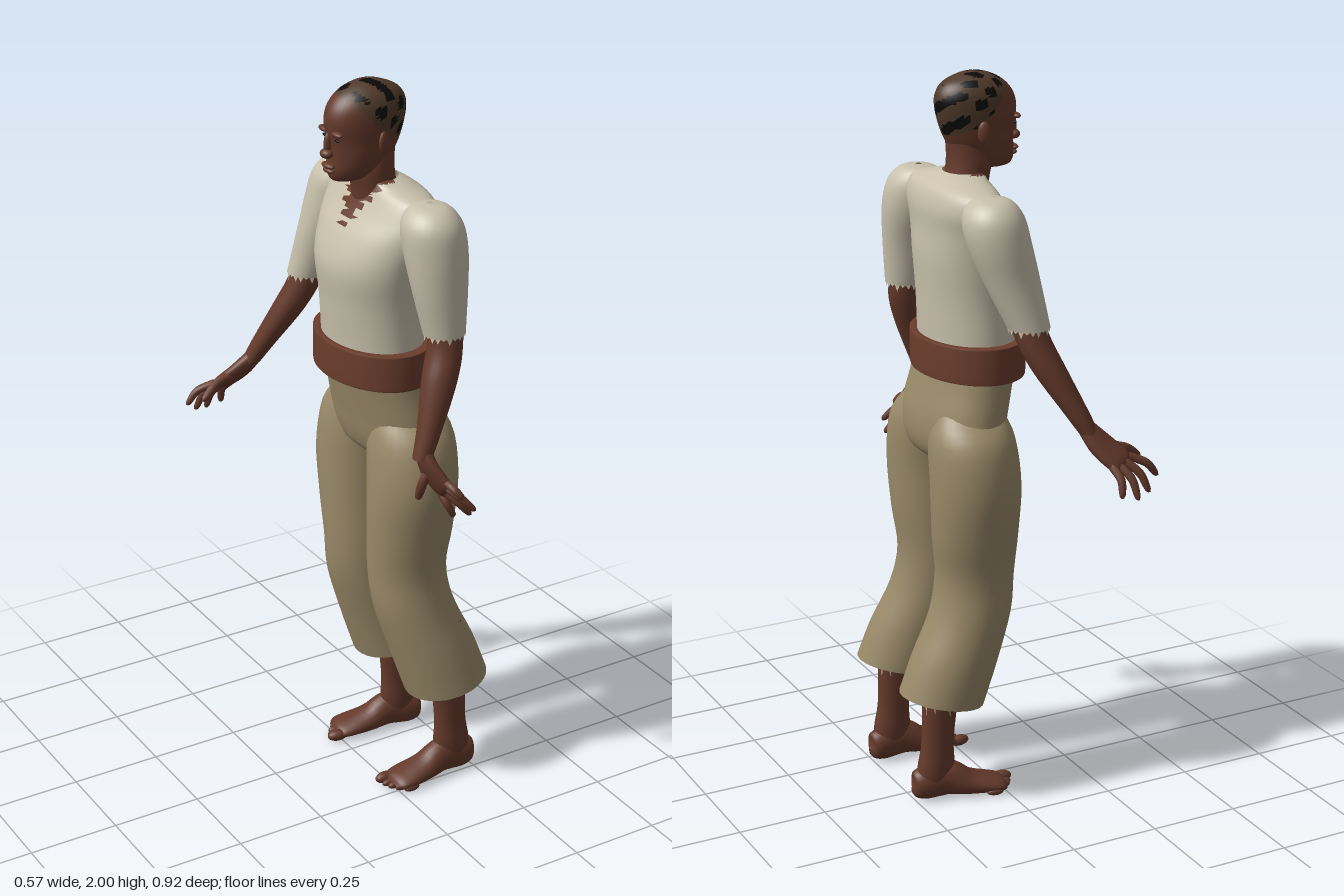
import * as THREE from 'three';

const mat = (name, color, side = THREE.FrontSide) => {
  const m = new THREE.MeshStandardMaterial({ color, side });
  m.name = name;
  return m;
};
const V = (x, y, z) => new THREE.Vector3(x, y, z);

// Smooth loft through stations [x, y, z, ru, rv, slope].
// Without ref the rings lie flat (ru along x, rv along z); with ref they follow the path.
function loft(stations, { ref = null, seg = 28, steps = 4 } = {}) {
  const path = new THREE.CatmullRomCurve3(stations.map(s => V(s[0], s[1], s[2])), false, 'catmullrom');
  const radii = new THREE.CatmullRomCurve3(stations.map(s => V(s[3], s[4] ?? s[3], s[5] ?? 0)), false, 'catmullrom');
  const n = (stations.length - 1) * steps, pos = [], idx = [];
  const flat = V(0, Math.sign(stations.at(-1)[1] - stations[0][1]), 0);
  for (let i = 0; i <= n; i++) {
    const c = path.getPoint(i / n), r = radii.getPoint(i / n);
    const t = ref ? path.getTangent(i / n) : flat;
    const u = (ref ? ref.clone() : V(1, 0, 0)).addScaledVector(t, ref ? -t.dot(ref) : 0).normalize();
    const v = t.clone().cross(u);
    for (let j = 0; j < seg; j++) {
      const a = (j / seg) * Math.PI * 2;
      const du = Math.cos(a) * Math.max(r.x, 0.0005), dv = Math.sin(a) * Math.max(r.y, 0.0005);
      const p = c.clone().addScaledVector(u, du).addScaledVector(v, dv);
      pos.push(p.x, p.y + du * r.z, p.z);
      if (i < n) {
        const k = (j + 1) % seg, A = i * seg + j, B = i * seg + k;
        idx.push(A, B, B + seg, A, B + seg, A + seg);
      }
    }
  }
  const g = new THREE.BufferGeometry();
  g.setAttribute('position', new THREE.Float32BufferAttribute(pos, 3));
  g.setIndex(idx);
  g.computeVertexNormals();
  return g;
}

// Sorts faces into material groups by a rule on their centre.
function paint(g, count, rule) {
  const p = g.attributes.position, src = g.index.array;
  const bins = Array.from({ length: count }, () => []);
  for (let i = 0; i < src.length; i += 3) {
    const f = [src[i], src[i + 1], src[i + 2]], c = V(0, 0, 0);
    f.forEach(k => c.add(V(p.getX(k), p.getY(k), p.getZ(k)).divideScalar(3)));
    bins[rule(c)].push(...f);
  }
  g.setIndex(bins.flat());
  let start = 0;
  bins.forEach((b, i) => { g.addGroup(start, b.length, i); start += b.length; });
  return g;
}

// Ring of hanging torn threads.
function fringe(x, y, z, rx, rz, h, count) {
  const pos = [];
  const at = (a, dy) => pos.push(x + Math.cos(a) * rx, y + dy, z + Math.sin(a) * rz);
  for (let i = 0; i < count; i++) {
    const a = (i / count) * Math.PI * 2, w = Math.PI * 2 / count;
    at(a, 0); at(a + w, 0); at(a + w / 2, -h * (0.65 + 0.35 * Math.sin(i * 2.4)));
  }
  const g = new THREE.BufferGeometry();
  g.setAttribute('position', new THREE.Float32BufferAttribute(pos, 3));
  g.computeVertexNormals();
  return g;
}

export function createModel() {
  const root = new THREE.Group();
  root.name = 'standingMan';
  const skin = mat('skin', 0x653a2b);
  const shirt = mat('shirtCloth', 0xc8c0ab, THREE.DoubleSide);
  const pants = mat('trouserCloth', 0x9a8a69, THREE.DoubleSide);
  const leather = mat('beltLeather', 0x6b3d2d, THREE.DoubleSide);
  const hair = mat('shortHair', 0x503a2a);
  const dark = mat('darkHair', 0x0c0a09);
  const add = (name, g, m, parent = root) => {
    const mesh = new THREE.Mesh(g, m);
    mesh.name = name;
    parent.add(mesh);
    return mesh;
  };
  const ball = (name, m, x, y, z, rx, ry, rz, parent) => {
    const b = add(name, new THREE.SphereGeometry(1, 16, 12), m, parent);
    b.position.set(x, y, z);
    b.scale.set(rx, ry, rz);
    return b;
  };
  const mid = 0.04;

  // Head: rows of [height, face x, back x, half width]
  const rows = [[1.742, -0.065, -0.02, 0.012], [1.752, -0.086, 0.02, 0.038], [1.775, -0.094, 0.06, 0.055],
    [1.81, -0.092, 0.09, 0.066], [1.85, -0.093, 0.11, 0.071], [1.9, -0.1, 0.124, 0.076],
    [1.94, -0.09, 0.125, 0.074], [1.972, -0.062, 0.105, 0.059], [1.993, -0.02, 0.06, 0.031], [2, 0.02, 0.022, 0.001]];
  const head = loft(rows.map(([y, a, b, w]) => [(a + b) / 2, y, mid, (b - a) / 2, w]), { seg: 40, steps: 5 });
  paint(head, 3, c => {
    const line = c.x < 0.03 ? 1.87 + (0.03 - c.x) * 1.05 : 1.87 - (c.x - 0.03) * 0.45;
    if (c.y < line) return 0;
    return Math.sin(c.y * 95 + c.z * 60) * Math.sin(c.x * 80 - c.z * 55) > 0.22 ? 2 : 1;
  });
  add('head', head, [skin, hair, dark]);
  add('neck', loft([[0.06, 1.64, mid, 0.07, 0.07], [0.042, 1.71, mid, 0.06, 0.062], [0.032, 1.77, mid, 0.06, 0.06],
    [0.04, 1.83, mid, 0.055, 0.055]]), skin);
  ball('noseBridge', skin, -0.095, 1.845, mid, 0.012, 0.032, 0.01);
  ball('noseTip', skin, -0.099, 1.822, mid, 0.017, 0.013, 0.02);
  ball('upperLip', skin, -0.094, 1.79, mid, 0.014, 0.008, 0.026);
  ball('lowerLip', skin, -0.092, 1.777, mid, 0.013, 0.008, 0.023);
  for (const s of [1, -1]) {
    ball('brow', skin, -0.087, 1.878, mid + s * 0.03, 0.012, 0.008, 0.024);
    ball('eye', dark, -0.086, 1.861, mid + s * 0.029, 0.004, 0.004, 0.011);
    const ear = ball('ear', skin, 0.025, 1.85, mid + s * 0.073, 0.017, 0.03, 0.009);
    ear.rotation.y = s * 0.35;
  }

  // Shirt body with an open torn neckline showing skin
  const torso = loft([[0.04, 1.22, 0.037, 0.122, 0.17], [0.04, 1.31, 0.037, 0.124, 0.166], [0.038, 1.42, 0.038, 0.13, 0.168],
    [0.037, 1.52, 0.038, 0.136, 0.185], [0.05, 1.6, 0.037, 0.12, 0.205], [0.07, 1.66, 0.035, 0.1, 0.22],
    [0.076, 1.705, 0.035, 0.08, 0.2], [0.066, 1.728, 0.038, 0.062, 0.12], [0.05, 1.742, mid, 0.052, 0.062]], { seg: 56, steps: 6 });
  paint(torso, 2, c => {
    const rag = 0.012 * Math.sin(c.y * 260);
    return c.x < 0.06 && Math.abs(c.z - mid) < (c.y - 1.615) * 0.62 + rag ? 1 : 0;
  });
  add('shirtBody', torso, [shirt, skin]);

  // Sleeves, forearms and hands
  const arms = [
    { side: 'left', s: 1,
      sleeve: [[0.08, 0.24], [0.08, 0.245], [0.08, 0.255], [0.085, 0.267], [0.088, 0.285], [0.095, 0.297]],
      fore: [[0.09, 1.46, 0.293, 0.042], [0.095, 1.36, 0.302, 0.046], [0.07, 1.27, 0.318, 0.047], [0.032, 1.15, 0.335, 0.034], [0.005, 1.07, 0.342, 0.026]],
      palm: [[0.008, 1.09, 0.34], [0.02, 1.04, 0.355], [0.045, 0.99, 0.383]],
      tips: [[0.06, 0.985, 0.455], [0.1, 0.94, 0.452], [0.108, 0.912, 0.42], [0.075, 0.902, 0.39]], thumb: [0, 0.945, 0.328] },
    { side: 'right', s: -1,
      sleeve: [[0.08, -0.175], [0.08, -0.18], [0.08, -0.188], [0.07, -0.202], [0.042, -0.222], [0.008, -0.247]],
      fore: [[0.02, 1.46, -0.235, 0.042], [0.005, 1.37, -0.252, 0.046], [-0.03, 1.28, -0.283, 0.046], [-0.085, 1.17, -0.328, 0.034], [-0.115, 1.11, -0.35, 0.026]],
      palm: [[-0.108, 1.125, -0.345], [-0.14, 1.08, -0.37], [-0.178, 1.04, -0.4]],
      tips: [[-0.285, 0.99, -0.418], [-0.247, 0.957, -0.443], [-0.205, 0.947, -0.46], [-0.16, 0.957, -0.455]], thumb: [-0.272, 1.025, -0.347] },
  ];
  const sleeveRows = [[1.72, 0.008, 0.008], [1.71, 0.05, 0.055], [1.67, 0.079, 0.083], [1.6, 0.084, 0.082], [1.5, 0.074, 0.066], [1.385, 0.056, 0.054]];
  for (const arm of arms) {
    const g = new THREE.Group();
    g.name = arm.side + 'Arm';
    root.add(g);
    const [ex, ez] = arm.sleeve.at(-1);
    add('sleeve', loft(sleeveRows.map(([y, rx, rz], i) => [arm.sleeve[i][0], y, arm.sleeve[i][1], rx, rz])), shirt, g);
    add('sleeveFray', fringe(ex, 1.387, ez, 0.055, 0.053, 0.02, 22), shirt, g);
    add('forearm', loft(arm.fore), skin, g);
    const tips = arm.tips.map(p => V(...p)), across = tips[3].clone().sub(tips[0]).normalize();
    const [w, m, k] = arm.palm;
    add('palm', loft([[...w, 0.025, 0.022], [...m, 0.038, 0.02], [...k, 0.04, 0.015], [...V(...k).lerp(tips[1], 0.15), 0.022, 0.006]],
      { ref: across, seg: 16 }), skin, g);
    const finger = (name, base, tip, r) => {
      const knee = base.clone().lerp(tip, 0.5).add(V(-0.006, 0.008, arm.s * 0.006));
      add(name, loft([[...base, r], [...knee, r], [...tip.clone().lerp(base, 0.1), r * 0.75], [...tip, 0.001]],
        { ref: across, seg: 10 }), skin, g);
    };
    tips.forEach((tip, i) => finger('finger', V(...k).addScaledVector(across, (i - 1.5) * 0.02), tip, 0.011));
    finger('thumb', V(...m), V(...arm.thumb), 0.013);
  }

  // Belt with an overlapping front end
  add('belt', loft([[0.04, 1.21, 0.037, 0.115, 0.17], [0.04, 1.208, 0.037, 0.136, 0.194], [0.04, 1.22, 0.037, 0.14, 0.198],
    [0.04, 1.295, 0.037, 0.14, 0.198], [0.04, 1.307, 0.037, 0.136, 0.194], [0.04, 1.305, 0.037, 0.115, 0.16]], { seg: 48 }), leather);

  // Trouser seat
  add('trouserSeat', loft([[0.045, 1.25, 0.037, 0.122, 0.178], [0.06, 1.18, 0.037, 0.122, 0.184], [0.078, 1.1, 0.038, 0.123, 0.195],
    [0.085, 1.03, 0.038, 0.115, 0.195], [0.085, 0.985, 0.038, 0.09, 0.15], [0.085, 0.965, 0.038, 0.02, 0.04]], { seg: 40 }), pants);

  // Trouser legs, shins and bare feet: rows of [x, y, left z, right z, rx, rz, slope]
  const legRows = [[0.085, 1.12, 0.14, -0.06, 0.09, 0.07], [0.086, 1.045, 0.158, -0.078, 0.115, 0.118], [0.081, 0.92, 0.177, -0.09, 0.122, 0.122],
    [0.078, 0.78, 0.17, -0.08, 0.118, 0.111], [0.074, 0.66, 0.163, -0.067, 0.109, 0.102], [0.088, 0.55, 0.175, -0.068, 0.113, 0.105],
    [0.133, 0.42, 0.198, -0.065, 0.118, 0.111, 0.1], [0.17, 0.305, 0.215, -0.057, 0.116, 0.112, 0.2]];
  for (const [side, s, z, turn] of [['left', 1, 0.225, 0.02], ['right', -1, -0.057, -0.18]]) {
    const g = new THREE.Group();
    g.name = side + 'Leg';
    root.add(g);
    add('trouserLeg', loft(legRows.map(([x, y, l, r, rx, rz, k]) => [x, y, s > 0 ? l : r, rx, rz, k]), { seg: 36 }), pants, g);
    add('hemFray', fringe(0.172, 0.345, z, 0.058, 0.056, 0.085, 26), shirt, g);
    add('shin', loft([[0.15, 0.5, z, 0.055, 0.05], [0.172, 0.32, z, 0.052, 0.042], [0.182, 0.18, z, 0.046, 0.036],
      [0.188, 0.1, z, 0.054, 0.038], [0.192, 0.05, z, 0.05, 0.034]]), skin, g);
    const foot = new THREE.Group();
    foot.name = 'foot';
    foot.position.set(0.19, 0, z);
    foot.rotation.y = turn;
    g.add(foot);
    add('sole', loft([[0.068, 0.045, 0, 0.002, 0.002], [0.058, 0.045, 0, 0.036, 0.028], [0.03, 0.052, 0, 0.048, 0.037],
      [-0.03, 0.06, 0, 0.052, 0.037], [-0.09, 0.04, 0, 0.036, 0.045], [-0.15, 0.03, 0, 0.025, 0.052],
      [-0.185, 0.025, 0, 0.018, 0.048], [-0.2, 0.022, 0, 0.004, 0.03]], { ref: V(0, 1, 0), seg: 24 }), skin, foot);
    for (let i = 0; i < 5; i++) {
      const r = i ? 0.0105 : 0.016;
      ball('toe', skin, -0.2 + i * i * 0.0025, r + 0.006, s * (-0.034 + i * 0.0185 + (i ? 0.003 : 0)), i ? 0.024 : 0.03, r, r, foot);
    }
  }
  return root;
}
